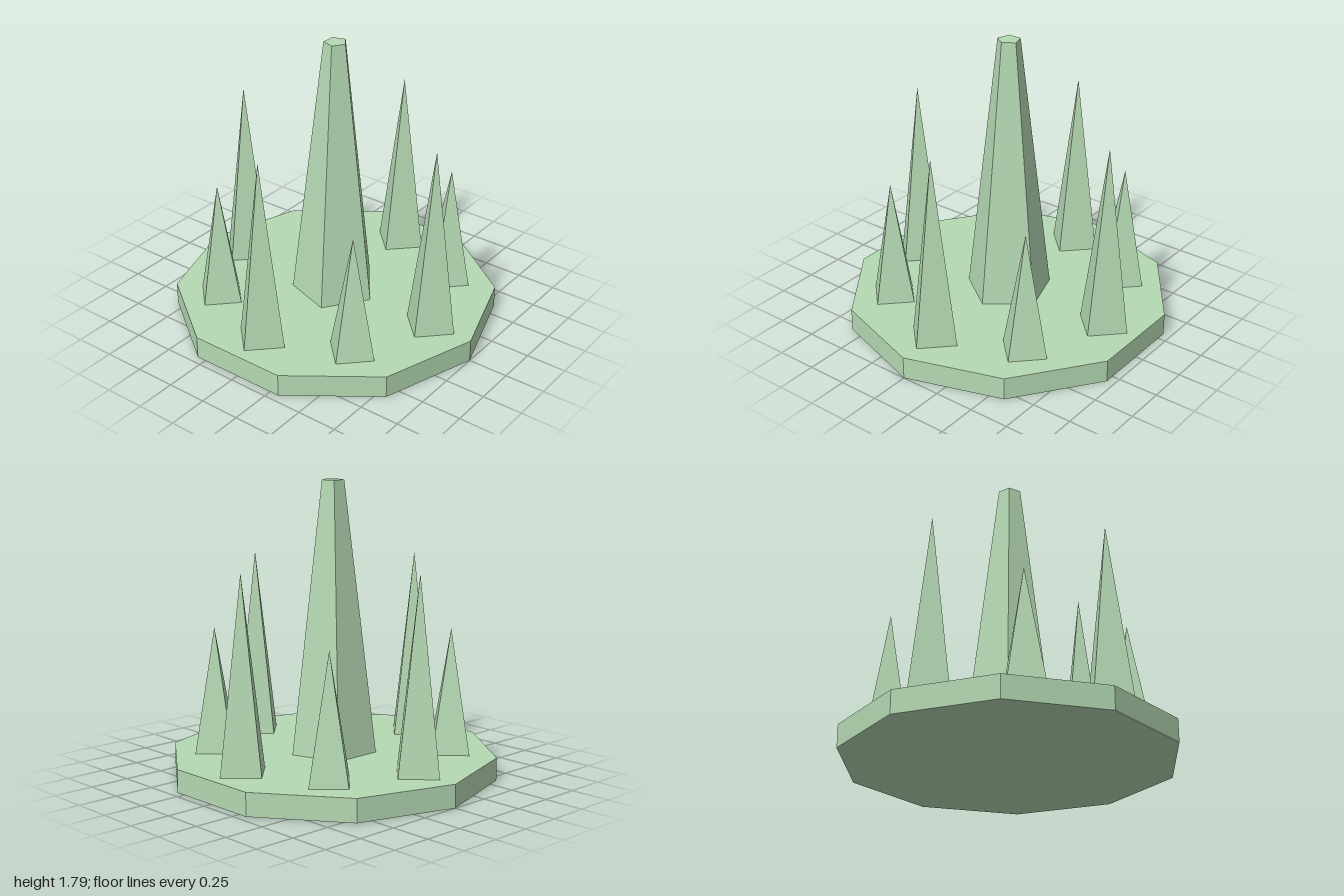
import * as THREE from 'three';

export function createModel() {
  const model = new THREE.Group();
  const paleGreen = new THREE.MeshStandardMaterial({ color: 0xb5d9b3, flatShading: true });
  paleGreen.name = 'paleGreen';
  const baseTop = 0.14;

  // Faceted prism, cone or tapered column with one corner pointing to +x
  function addPrism(name, topRadius, bottomRadius, bottom, top, sides, x = 0, z = 0) {
    const geometry = new THREE.CylinderGeometry(
      topRadius, bottomRadius, top - bottom, sides, 1, false, Math.PI / 2);
    const mesh = new THREE.Mesh(geometry, paleGreen);
    mesh.name = name;
    mesh.position.set(x, (top + bottom) / 2, z);
    model.add(mesh);
  }

  // Ten-sided base plate
  addPrism('base', 1, 1, 0, baseTop, 10);

  // Five-sided central tower with a blunt top
  addPrism('centralTower', 0.07, 0.268, baseTop, 1.79, 5);

  // Ring of four-sided spikes, alternately tall and short
  const ringRadius = 0.714;
  for (let i = 0; i < 8; i++) {
    const angle = (i * Math.PI) / 4;
    const x = ringRadius * Math.cos(angle);
    const z = ringRadius * Math.sin(angle);
    if (i % 2 === 0) addPrism('tallSpike', 0, 0.169, baseTop, 1.3, 4, x, z);
    else addPrism('shortSpike', 0, 0.16, baseTop, 0.9, 4, x, z);
  }

  return model;
}
